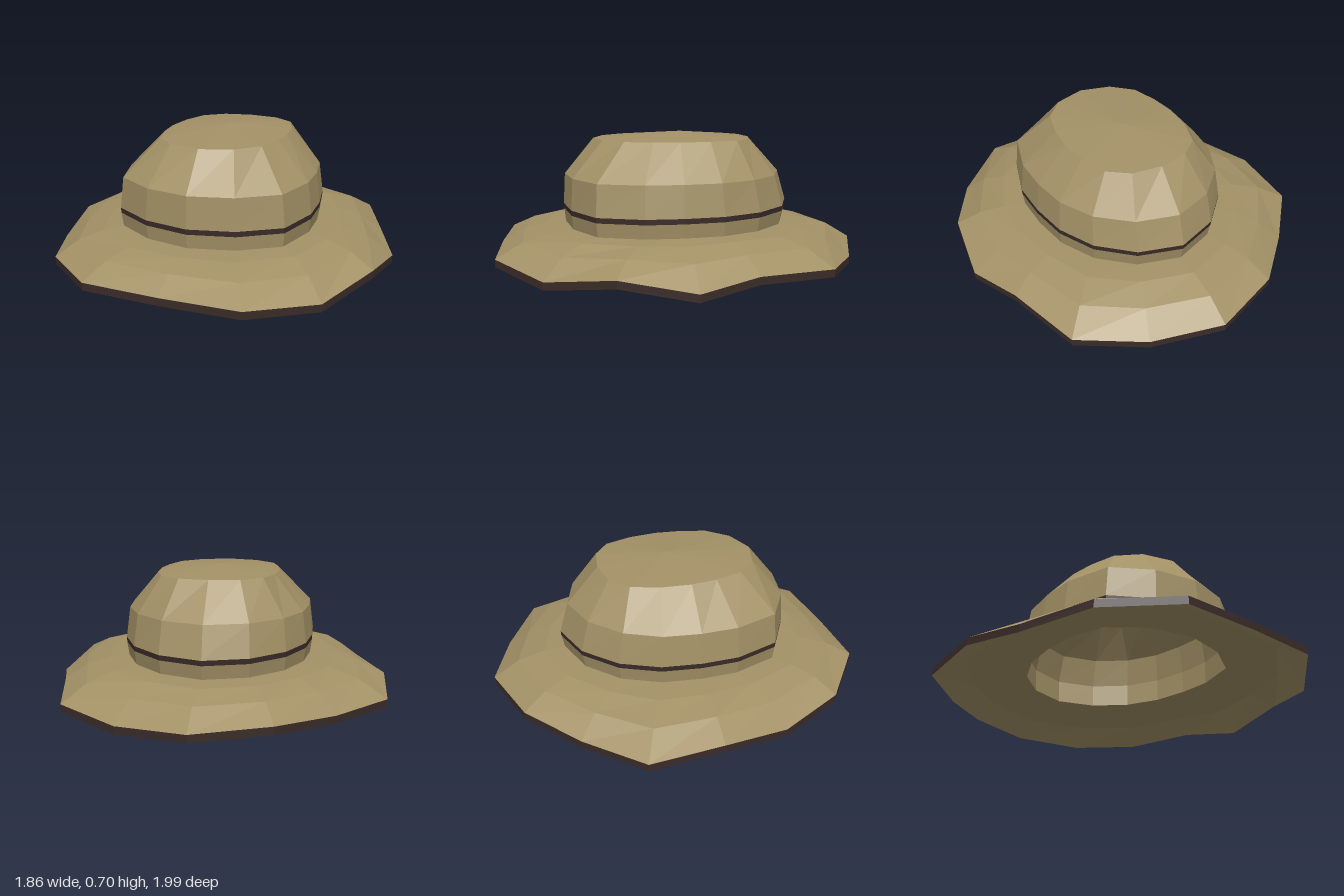
import * as THREE from 'three';

const tan = new THREE.MeshStandardMaterial({ color: 0xa39166, flatShading: true });
tan.name = 'tanFelt';
const dark = new THREE.MeshStandardMaterial({ color: 0x3a2b28, flatShading: true });
dark.name = 'darkTrim';

// Half outlines run from the back to the front as [x, z]; mirrored to a 16-point ring
function mirrorRing(half) {
  const left = half.slice(1, -1).reverse().map(([x, z]) => [-x, z]);
  return half.concat(left);
}
const bodyOutline = mirrorRing([[0, -0.615], [0.23, -0.54], [0.4, -0.38], [0.495, -0.18], [0.525, 0.03],
  [0.525, 0.23], [0.45, 0.47], [0.24, 0.6], [0, 0.65]]);
const topOutline = mirrorRing([[0, -0.39], [0.16, -0.365], [0.27, -0.28], [0.32, -0.13], [0.335, 0.03],
  [0.32, 0.17], [0.28, 0.32], [0.17, 0.43], [0, 0.48]]);

// Wavy brim edge: x, height, z
const rim = [[0, 0.07, -1], [0.37, 0.045, -0.88], [0.7, 0.07, -0.69], [0.82, 0.08, -0.29],
  [0.93, 0.04, 0.01], [0.88, 0.102, 0.38], [0.7, 0.052, 0.72], [0.4, 0.09, 0.98],
  [0, 0.095, 0.99], [-0.4, 0.1, 0.975], [-0.71, 0.085, 0.72], [-0.86, 0.055, 0.37],
  [-0.93, 0.1, 0.01], [-0.92, 0.07, -0.37], [-0.66, 0.065, -0.64], [-0.38, 0.085, -0.88]];

// Horizontal ring from an outline, with separate scales for width, back and front
const ring = (outline, y, sx = 1, back = 1, front = 1) =>
  outline.map(([x, z]) => [x * sx, y, z * (z < 0 ? back : front)]);
const lower = (points, d) => points.map(([x, y, z]) => [x, y - d, z]);

// Skin consecutive rings with quads
function loft(name, rings, material) {
  const n = rings[0].length, index = [];
  for (let r = 0; r < rings.length - 1; r++) {
    for (let i = 0; i < n; i++) {
      const j = (i + 1) % n;
      const a0 = r * n + i, a1 = r * n + j, b0 = a0 + n, b1 = a1 + n;
      index.push(a1, a0, b0, a1, b0, b1);
    }
  }
  const geometry = new THREE.BufferGeometry();
  geometry.setAttribute('position', new THREE.Float32BufferAttribute(rings.flat(2), 3));
  geometry.setIndex(index);
  geometry.computeVertexNormals();
  const mesh = new THREE.Mesh(geometry, material);
  mesh.name = name;
  return mesh;
}

export function createModel() {
  const hat = new THREE.Group();
  hat.name = 'hat';
  const thickness = 0.04;

  const base = ring(bodyOutline, 0.2, 0.98, 0.97, 0.985);
  // Brim ring: t runs from the crown to the edge, drop is the share of the edge's fall
  const brimRing = (inner, t, drop) => inner.map(([x, y, z], i) => [
    x + (rim[i][0] - x) * t,
    y + (rim[i][1] - 0.2) * drop,
    z + (rim[i][2] - z) * t,
  ]);
  const brim = [rim, brimRing(base, 0.66, 0.36), brimRing(base, 0.3, 0.06), base];
  hat.add(loft('brimTop', brim, tan));

  // Crown, split around the narrow band
  const bandBottom = ring(bodyOutline, 0.274, 0.998, 0.995, 0.997);
  const bandTop = ring(bodyOutline, 0.302);
  hat.add(loft('crownBase', [base, bandBottom], tan));
  hat.add(loft('hatBand', [bandBottom, bandTop], dark));
  hat.add(loft('crown', [
    bandTop,
    ring(bodyOutline, 0.47, 0.96, 0.92, 0.985),
    ring(topOutline, 0.665),
    ring(topOutline, 0.7, 0, 0, 0),
  ], tan));

  // Hollow inside
  const opening = ring(bodyOutline, 0.16, 0.92, 0.92, 0.93);
  hat.add(loft('crownLining', [
    ring(topOutline, 0.66, 0, 0, 0),
    ring(topOutline, 0.627, 0.93, 0.93, 0.93),
    ring(bodyOutline, 0.45, 0.89, 0.86, 0.92),
    ring(bodyOutline, 0.29, 0.93, 0.93, 0.94),
    opening,
  ], tan));

  // Underside and dark outer edge
  const rimBottom = lower(rim, thickness);
  hat.add(loft('brimUnderside', [
    opening, lower(brim[2], thickness), lower(brim[1], thickness), rimBottom,
  ], tan));
  hat.add(loft('brimEdge', [rimBottom, rim], dark));
  return hat;
}
